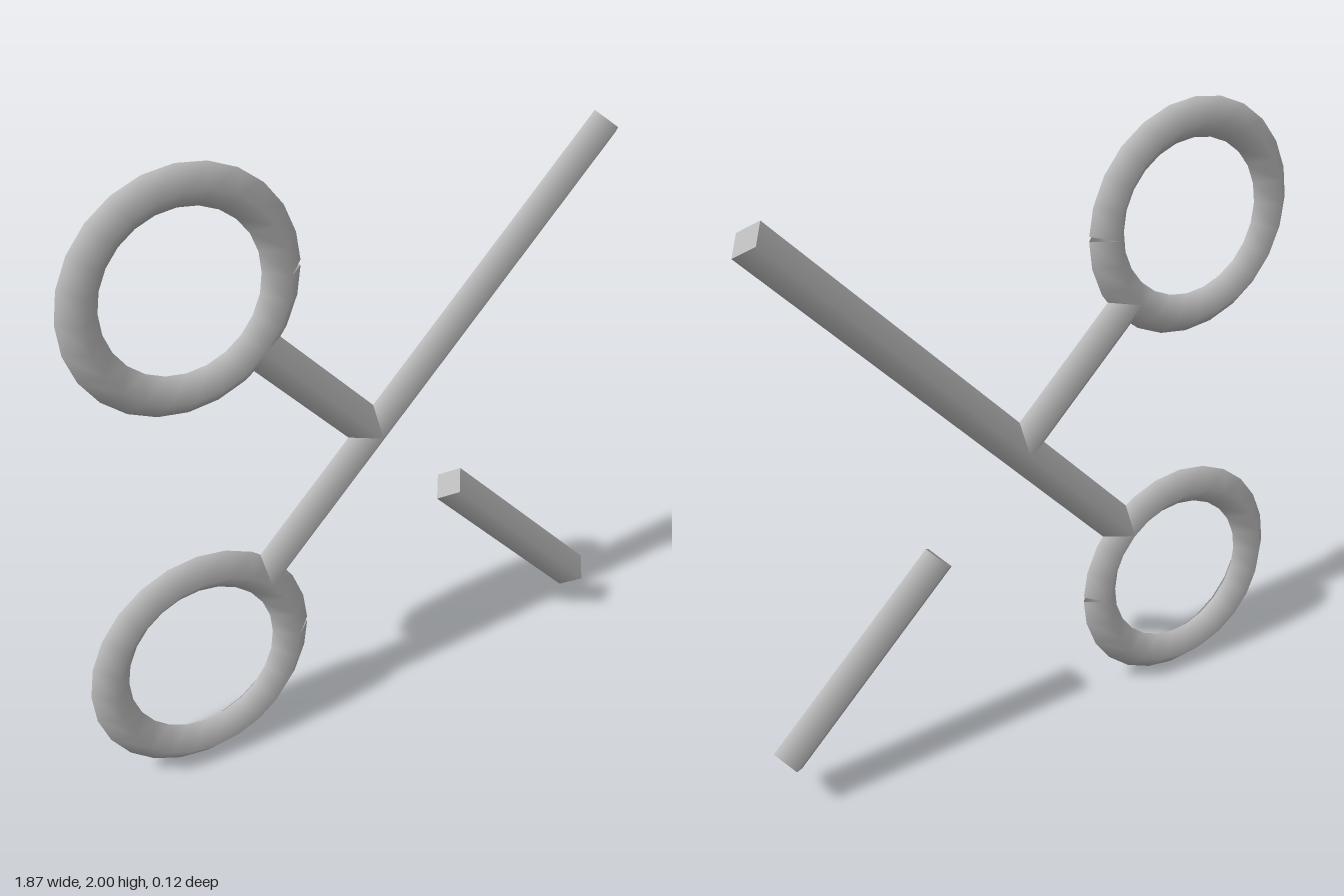
import * as THREE from 'three';

const TUBE = 0.0625;   // half diagonal of the diamond cross-section
const RING = 0.3125;   // radius of the ring's centre line
const SEGMENTS = 24;

// Diamond-section bar between two points in the xy plane
function bar(name, [x1, y1], [x2, y2], material) {
  const length = Math.hypot(x2 - x1, y2 - y1);
  const mesh = new THREE.Mesh(new THREE.CylinderGeometry(TUBE, TUBE, length, 4), material);
  mesh.position.set((x1 + x2) / 2, (y1 + y2) / 2, 0);
  mesh.rotation.z = Math.atan2(y2 - y1, x2 - x1) - Math.PI / 2;
  mesh.name = name;
  return mesh;
}

// Diamond-section ring whose two ends tilt apart to leave a small notch at +x
function ringGeometry() {
  const geometry = new THREE.TorusGeometry(RING, TUBE, 4, SEGMENTS);
  const pos = geometry.attributes.position;
  const slope = Math.tan(Math.PI / SEGMENTS);
  for (let i = 0; i < pos.count; i++) {
    const step = i % (SEGMENTS + 1);
    const side = step === 0 ? 1 : step === SEGMENTS ? -1 : 0;
    if (side) pos.setY(i, side * (pos.getX(i) - RING) * slope);
  }
  return geometry;
}

export function createModel() {
  const group = new THREE.Group();
  group.name = 'scissors';
  const grey = new THREE.MeshStandardMaterial({ color: 0xb8b8b8, side: THREE.DoubleSide });
  grey.name = 'grey';

  // Finger rings
  const geometry = ringGeometry();
  for (const [name, y] of [['upperRing', 1.625], ['lowerRing', 0.378]]) {
    const ring = new THREE.Mesh(geometry, grey);
    ring.name = name;
    ring.position.set(-0.5625, y, 0);
    group.add(ring);
  }

  // Long blade, the short handle meeting it, and the detached blade tip
  group.add(
    bar('longBlade', [-0.342, 0.6], [0.893, 1.835], grey),
    bar('upperHandle', [-0.342, 1.404], [0.058, 1.0], grey),
    bar('bladeTip', [0.351, 0.709], [0.893, 0.167], grey),
  );
  return group;
}
